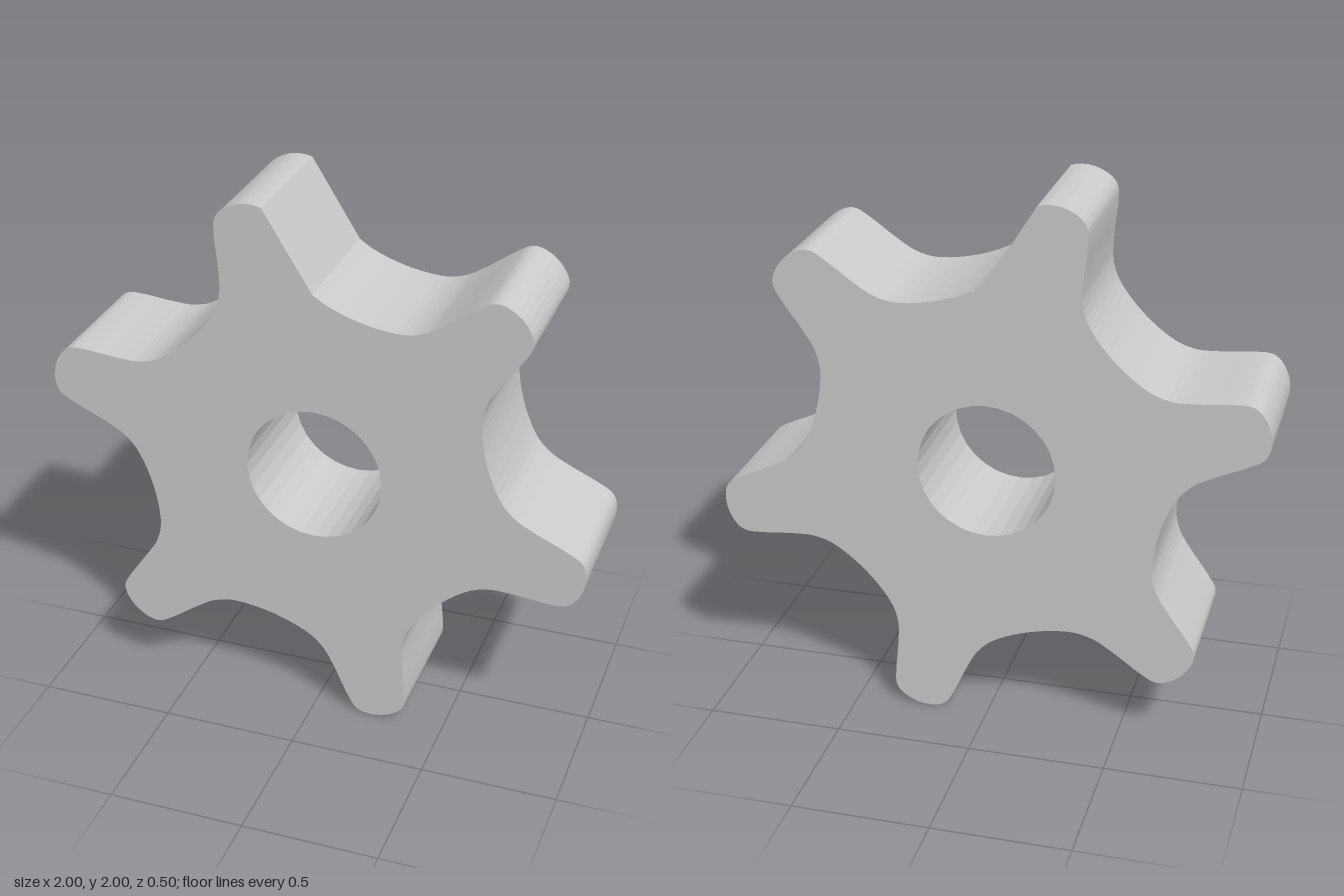
import * as THREE from 'three';

const CENTER_Y = 1, DEPTH = 0.5, HOLE_RADIUS = 0.253;

// Half of one tooth, from tip to valley: [distance along the tooth axis, sideways offset]
const HALF_TOOTH = [
  [1.03, 0], [1.022, 0.05], [1.006, 0.083], [0.983, 0.102], [0.95, 0.112], [0.9, 0.122], [0.83, 0.133],
  [0.77, 0.145], [0.73, 0.156], [0.682, 0.181], [0.643, 0.215], [0.6, 0.268], [0.563, 0.325],
];
const CUT_TOP = 2, CUT_BOTTOM = 9; // ends of the straight flank on the last tooth

// Place a profile point on tooth k (clockwise); side is -1 or 1
function toothPoint(k, side, i) {
  const a = THREE.MathUtils.degToRad(45 - 60 * k);
  const [u, v] = HALF_TOOTH[i];
  const w = v * side;
  return new THREE.Vector2(
    u * Math.cos(a) + w * Math.sin(a),
    u * Math.sin(a) - w * Math.cos(a) + CENTER_Y
  );
}

function gearOutline() {
  const last = HALF_TOOTH.length - 1;
  const pts = [];
  // foot of the straight flank, leading into the first valley
  for (let i = CUT_BOTTOM; i < last; i++) pts.push(toothPoint(5, 1, i));
  for (let k = 0; k < 6; k++) {
    for (let i = last; i >= 0; i--) pts.push(toothPoint(k, -1, i));
    const end = k === 5 ? CUT_TOP + 1 : last;
    for (let i = 1; i < end; i++) pts.push(toothPoint(k, 1, i));
  }
  // smooth curve all round; closing the shape makes the straight flank
  return new THREE.SplineCurve(pts).getPoints((pts.length - 1) * 2);
}

export function createModel() {
  const group = new THREE.Group();
  group.name = 'gear';

  // Six-toothed wheel with a round bore, wound opposite to the clockwise outline
  const shape = new THREE.Shape(gearOutline());
  const bore = new THREE.Path().absarc(0, CENTER_Y, HOLE_RADIUS, 0, Math.PI * 2, false);
  shape.holes.push(new THREE.Path(bore.getPoints(16)));

  const geometry = new THREE.ExtrudeGeometry(shape, { depth: DEPTH, bevelEnabled: false });
  geometry.translate(0, 0, -DEPTH / 2);

  const wheel = new THREE.Mesh(
    geometry,
    new THREE.MeshStandardMaterial({ color: 0xcccccc, flatShading: true })
  );
  wheel.name = 'toothedWheel';
  group.add(wheel);
  return group;
}
